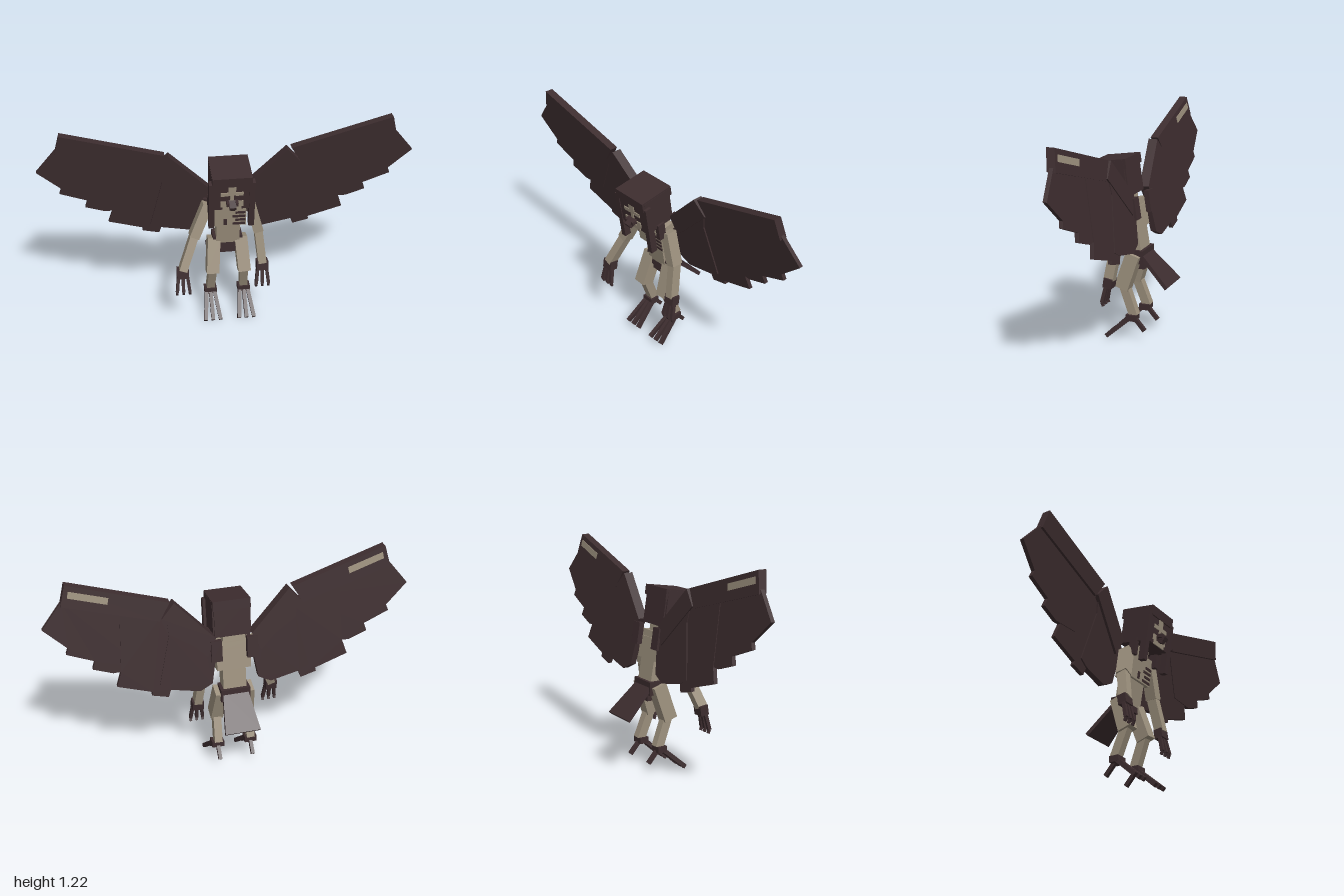
import * as THREE from 'three';

const plumage = new THREE.MeshStandardMaterial({ color: 0x3d2d2f });
plumage.name = 'dark plumage';
const skin = new THREE.MeshStandardMaterial({ color: 0x9c907d });
skin.name = 'pale skin';

const V = (p) => new THREE.Vector3(...p);

function box(parent, name, mat, [w, h, d], [x, y, z], rx = 0) {
  const m = new THREE.Mesh(new THREE.BoxGeometry(w, h, d), mat);
  m.name = name;
  m.position.set(x, y, z);
  m.rotation.x = rx;
  parent.add(m);
  return m;
}

// square bar running from point a to point b
function bar(parent, name, mat, a, b, w, d) {
  const dir = V(b).sub(V(a));
  const m = new THREE.Mesh(new THREE.BoxGeometry(w, dir.length(), d), mat);
  m.name = name;
  m.position.copy(V(a)).addScaledVector(dir, 0.5);
  m.quaternion.setFromUnitVectors(new THREE.Vector3(0, -1, 0), dir.normalize());
  parent.add(m);
  return m;
}

// flat panel in the leaning wing plane; z0 and z1 are the back and front offsets
function panel(parent, name, mat, side, pts, z0, z1) {
  const shape = new THREE.Shape(pts.map(([x, y]) => new THREE.Vector2(x * side, y)));
  const g = new THREE.ExtrudeGeometry(shape, { depth: z1 - z0, bevelEnabled: false });
  const p = g.attributes.position;
  for (let i = 0; i < p.count; i++) {
    p.setZ(i, p.getZ(i) + z0 - 0.062 + 0.16 * (p.getY(i) - 0.54));
  }
  g.computeVertexNormals();
  const m = new THREE.Mesh(g, mat);
  m.name = name;
  parent.add(m);
}

function makeWing(s) {
  const wing = new THREE.Group();
  wing.name = s > 0 ? 'leftWing' : 'rightWing';
  panel(wing, 'outerWingBone', plumage, s,
    [[0.335, 1.06], [0.865, 1.22], [0.895, 1.11], [0.395, 0.965]], -0.02, 0.025);
  panel(wing, 'innerWingBone', plumage, s,
    [[0.315, 1.055], [0.385, 0.975], [0.15, 0.73], [0.1, 0.83]], -0.024, 0.03);
  panel(wing, 'outerFeathers', plumage, s,
    [[0.37, 0.99], [0.89, 1.13], [1, 0.995], [0.88, 0.88], [0.893, 0.847], [0.75, 0.79],
      [0.765, 0.745], [0.66, 0.708], [0.5, 0.715]], -0.01, 0.012);
  panel(wing, 'middleFeathers', plumage, s,
    [[0.3, 0.98], [0.39, 0.98], [0.6, 1.03], [0.62, 0.71], [0.647, 0.63], [0.46, 0.57],
      [0.465, 0.55], [0.375, 0.527], [0.36, 0.57], [0.25, 0.6]], -0.014, 0.008);
  panel(wing, 'innerFeathers', plumage, s,
    [[0.36, 0.96], [0.16, 0.76], [0.1, 0.74], [0.13, 0.57], [0.2, 0.535], [0.365, 0.57],
      [0.42, 0.6], [0.35, 0.885]], -0.018, 0.016);
  // pale strip on the back of the outer bone
  panel(wing, 'paleWingStrip', skin, s,
    [[0.65, 1.127], [0.85, 1.187], [0.857, 1.153], [0.658, 1.093]], -0.023, -0.019);
  box(wing, 'wingRoot', plumage, [0.06, 0.12, 0.03], [0.1 * s, 0.755, -0.045], 0.15);
  return wing;
}

function makeLeg(s) {
  const leg = new THREE.Group();
  leg.name = s > 0 ? 'leftLeg' : 'rightLeg';
  bar(leg, 'thigh', skin, [0.075 * s, 0.49, -0.03], [0.09 * s, 0.295, 0.032], 0.07, 0.08);
  bar(leg, 'shin', skin, [0.088 * s, 0.315, 0.025], [0.095 * s, 0.145, -0.04], 0.045, 0.05);
  box(leg, 'ankle', plumage, [0.07, 0.035, 0.055], [0.096 * s, 0.135, -0.028]);
  for (const o of [-1, 0, 1]) {
    const x = 0.096 * s;
    bar(leg, 'frontToe', plumage, [x + o * 0.022, 0.13, -0.018], [x + o * 0.043, 0.015, 0.113], 0.02, 0.024);
  }
  bar(leg, 'backToe', plumage, [0.096 * s, 0.128, -0.04], [0.096 * s, 0.06, -0.1], 0.02, 0.022);
  return leg;
}

function makeArm(name, shoulder, elbow, wrist, reach) {
  const arm = new THREE.Group();
  arm.name = name;
  bar(arm, 'upperArm', skin, shoulder, elbow, 0.055, 0.065);
  bar(arm, 'forearm', skin, elbow, wrist, 0.045, 0.055);
  const [x, y, z] = wrist;
  box(arm, 'hand', plumage, [0.065, 0.055, 0.05], [x, y - 0.015, z], -0.15);
  for (const o of [-1, 0, 1]) {
    const end = [x + o * 0.035, y - 0.125, z + reach];
    bar(arm, 'finger', plumage, [x + o * 0.025, y - 0.035, z + 0.01], end, 0.017, 0.02);
    bar(arm, 'claw', plumage, end, [end[0], end[1] - 0.02, end[2] - 0.008], 0.013, 0.014);
  }
  return arm;
}

function makeHead() {
  const head = new THREE.Group();
  head.name = 'head';
  box(head, 'skull', plumage, [0.195, 0.2, 0.185], [0, 0, 0]);
  box(head, 'hairCap', plumage, [0.21, 0.055, 0.2], [0, 0.08, 0]);
  for (const s of [-1, 1]) {
    box(head, 'frontHairLock', plumage, [0.03, 0.29, 0.038], [0.107 * s, -0.075, 0.078]);
    box(head, 'sideHairLock', plumage, [0.025, 0.1, 0.045], [0.105 * s, -0.13, 0.005]);
    box(head, 'sideHair', plumage, [0.012, 0.2, 0.17], [0.1 * s, 0.0, 0]);
    // pale face patches around dark eyes
    box(head, 'cheek', skin, [0.03, 0.035, 0.006], [0.045 * s, -0.062, 0.094]);
    box(head, 'brow', skin, [0.04, 0.022, 0.006], [0.04 * s, 0.002, 0.094]);
    box(head, 'beakSide', plumage, [0.014, 0.02, 0.04], [0.024 * s, -0.048, 0.105]);
  }
  box(head, 'forehead', skin, [0.04, 0.06, 0.006], [0, 0.024, 0.094]);
  box(head, 'nose', skin, [0.02, 0.04, 0.006], [0, -0.02, 0.094]);
  box(head, 'chin', skin, [0.1, 0.025, 0.006], [0, -0.088, 0.094]);
  box(head, 'beak', plumage, [0.036, 0.022, 0.05], [0, -0.055, 0.115], 0.35);
  box(head, 'lowerBeak', plumage, [0.024, 0.018, 0.04], [0, -0.072, 0.108], 0.35);
  head.position.set(0, 0.9, 0.095);
  head.rotation.x = 0.15;
  return head;
}

function makeTorso() {
  const torso = new THREE.Group();
  torso.name = 'torso';
  box(torso, 'waist', skin, [0.13, 0.16, 0.08], [0, 0.06, 0.005]);
  box(torso, 'chest', skin, [0.19, 0.12, 0.1], [0, 0.18, 0.012]);
  box(torso, 'shoulders', skin, [0.2, 0.05, 0.09], [0, 0.252, 0.014]);
  box(torso, 'neck', skin, [0.1, 0.06, 0.075], [0, 0.29, 0.02]);
  // dark markings on the breast
  for (let i = 0; i < 4; i++) {
    const w = i % 2 ? 0.055 : 0.07;
    box(torso, 'breastStripe', plumage, [w, 0.014, 0.006], [0.09 - w / 2, 0.135 + i * 0.026, 0.063]);
  }
  box(torso, 'breastSpot', plumage, [0.018, 0.04, 0.006], [-0.02, 0.15, 0.063]);
  torso.position.set(0, 0.5, -0.03);
  torso.rotation.x = 0.17;
  return torso;
}

// flared flat tail built as a sloping trapezoid plate
function makeTail() {
  const shape = new THREE.Shape([[-0.07, 0], [0.07, 0], [0.1, -0.235], [-0.1, -0.235]]
    .map(([x, y]) => new THREE.Vector2(x, y)));
  const tail = new THREE.Mesh(new THREE.ExtrudeGeometry(shape, { depth: 0.022, bevelEnabled: false }), plumage);
  tail.name = 'tail';
  tail.position.set(0, 0.495, -0.068);
  tail.rotation.x = 0.79;
  return tail;
}

export function createModel() {
  const model = new THREE.Group();
  model.name = 'wingedCreature';
  model.add(makeHead(), makeTorso(), makeTail());
  box(model, 'hips', plumage, [0.165, 0.075, 0.09], [0, 0.475, -0.035]);
  box(model, 'lowerHips', plumage, [0.1, 0.05, 0.075], [0, 0.425, -0.04]);
  for (const s of [-1, 1]) model.add(makeWing(s), makeLeg(s));
  model.add(
    makeArm('leftArm', [0.115, 0.75, 0.035], [0.165, 0.56, 0.035], [0.185, 0.365, 0.07], 0.03),
    makeArm('rightArm', [-0.115, 0.75, 0.04], [-0.195, 0.57, 0.075], [-0.265, 0.39, 0.132], 0.03),
  );
  return model;
}
